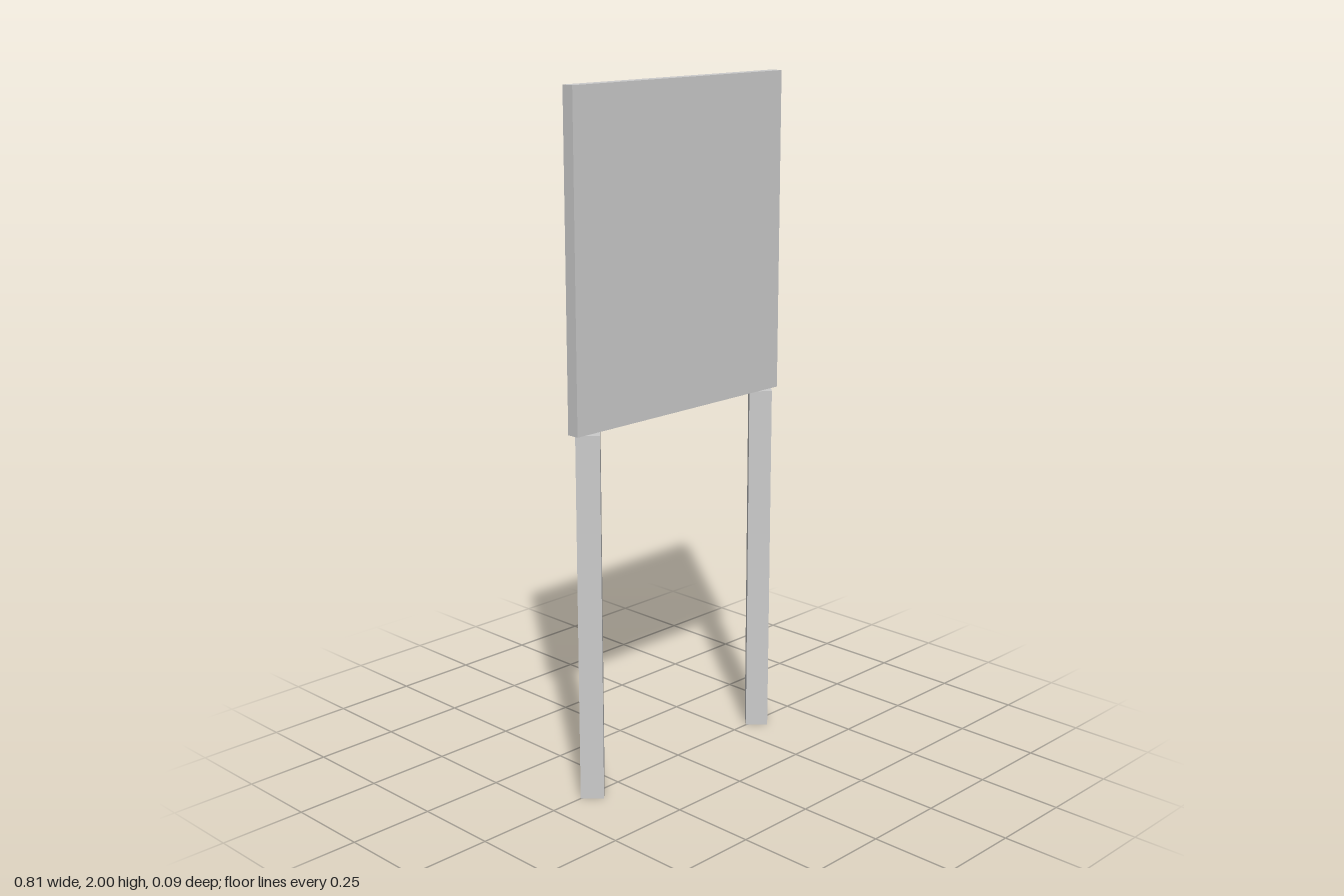
import * as THREE from 'three';

const PANEL_BOTTOM = 1.07;
const TOP = 2;

export function createModel() {
  const group = new THREE.Group();
  group.name = 'signBoard';
  const material = new THREE.MeshStandardMaterial({ color: 0xcccccc, flatShading: true });

  // Thin upright board
  const panel = new THREE.Mesh(new THREE.BoxGeometry(0.81, TOP - PANEL_BOTTOM, 0.037), material);
  panel.name = 'panel';
  panel.position.y = (PANEL_BOTTOM + TOP) / 2;
  group.add(panel);

  // Square posts turned 45 degrees, with corners facing front, back and sides
  const postGeometry = new THREE.CylinderGeometry(0.047, 0.047, PANEL_BOTTOM, 4);
  for (const side of [1, -1]) {
    const post = new THREE.Mesh(postGeometry, material);
    post.name = side > 0 ? 'leftPost' : 'rightPost';
    post.position.set(side * 0.35, PANEL_BOTTOM / 2, 0);
    group.add(post);
  }

  return group;
}
